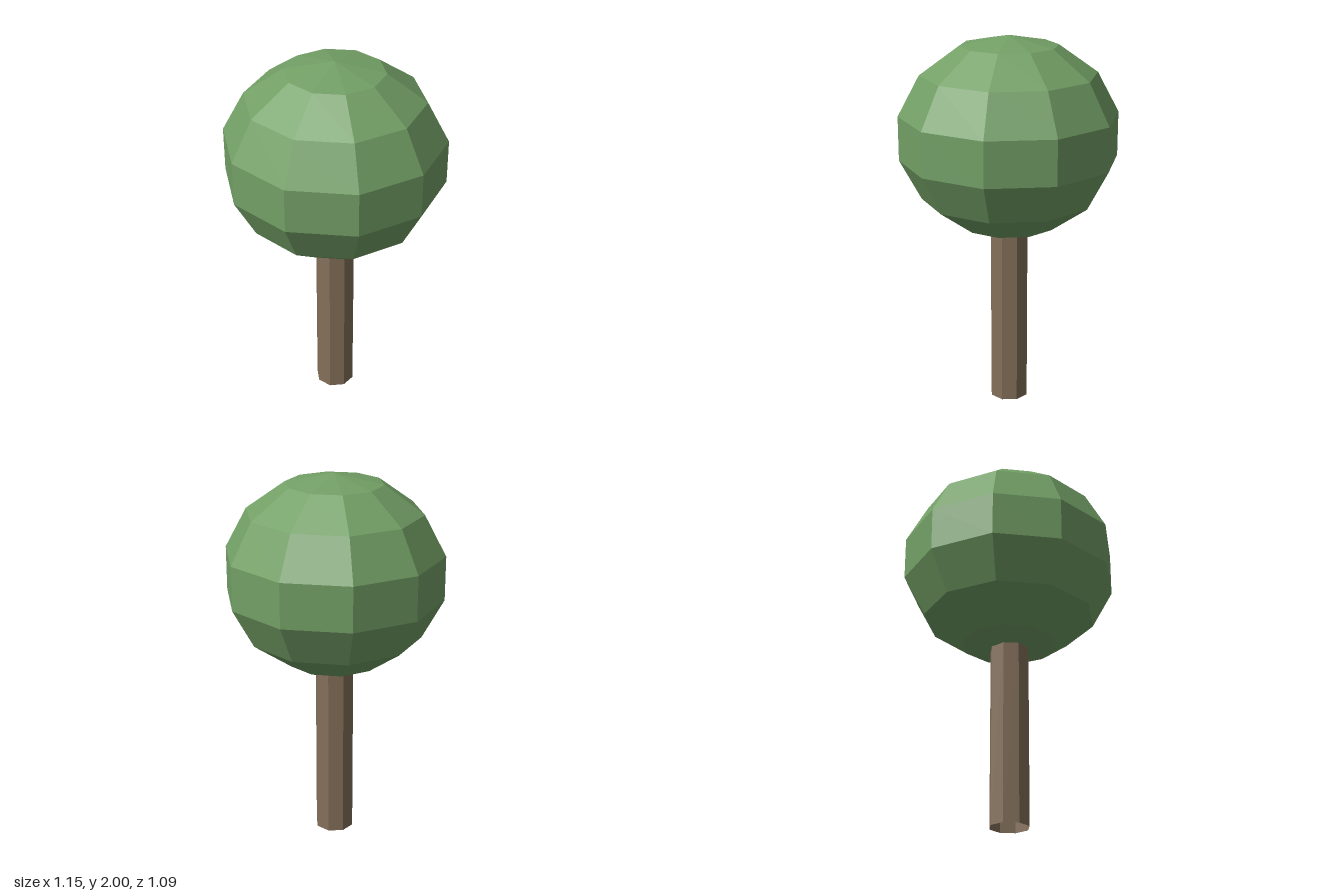
import * as THREE from 'three';

function addPart(group, name, geometry, color, side = THREE.FrontSide) {
  const material = new THREE.MeshStandardMaterial({ color, flatShading: true, side });
  const mesh = new THREE.Mesh(geometry, material);
  mesh.name = name;
  group.add(mesh);
  return mesh;
}

export function createModel() {
  const tree = new THREE.Group();
  tree.name = 'tree';

  // Trunk: hollow eight-sided tube, its top hidden inside the crown
  const trunkHeight = 1.0;
  const trunkGeometry = new THREE.CylinderGeometry(0.105, 0.105, trunkHeight, 8, 1, true);
  const trunk = addPart(tree, 'trunk', trunkGeometry, 0x85705a, THREE.DoubleSide);
  trunk.position.y = trunkHeight / 2;

  // Crown: faceted ball, slightly flattened
  const crownGeometry = new THREE.SphereGeometry(1, 10, 7).scale(0.588, 0.526, 0.588);
  const crown = addPart(tree, 'crown', crownGeometry, 0x73a066);
  crown.position.y = 1.474;

  return tree;
}
